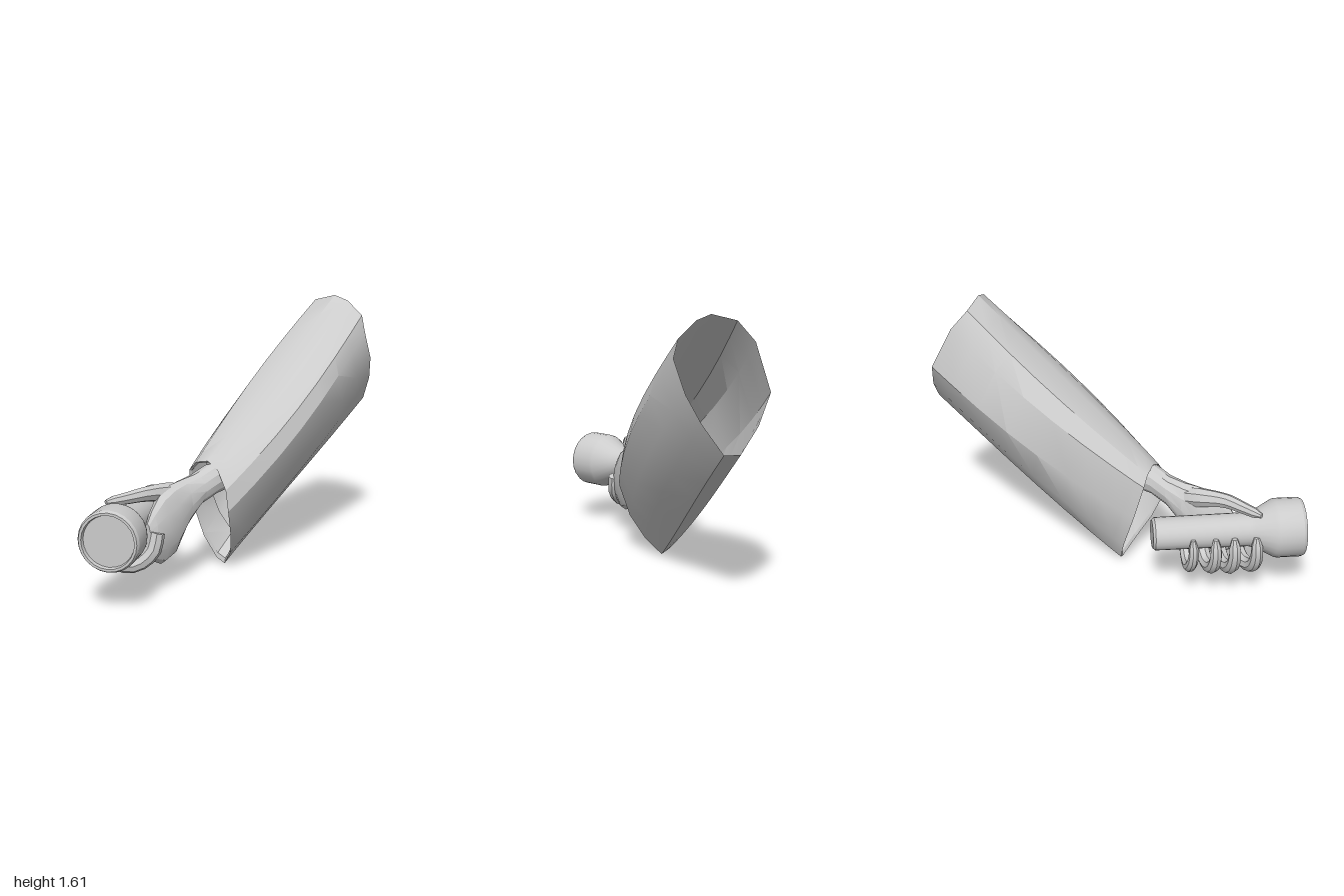
import * as THREE from 'three';
import { toCreasedNormals } from 'three/addons/utils/BufferGeometryUtils.js';

const V = (x, y, z) => new THREE.Vector3(x, y, z);

function mesh(name, geometry, crease, side = THREE.FrontSide) {
  const material = new THREE.MeshStandardMaterial({ color: 0xcccccc, side });
  const m = new THREE.Mesh(toCreasedNormals(geometry, crease), material);
  m.name = name;
  return m;
}

// Skin a list of equal-sized rings of points, optionally closing both ends.
function loft(rings, capped) {
  const n = rings[0].length, pos = [], idx = [];
  rings.forEach(r => r.forEach(p => pos.push(p.x, p.y, p.z)));
  for (let i = 0; i < rings.length - 1; i++) {
    for (let j = 0; j < n; j++) {
      const a = i * n + j, b = i * n + (j + 1) % n;
      idx.push(a, b, b + n, a, b + n, a + n);
    }
  }
  if (capped) {
    [0, rings.length - 1].forEach((k, end) => {
      const c = pos.length / 3, m = centre(rings[k]);
      pos.push(m.x, m.y, m.z);
      for (let j = 0; j < n; j++) {
        const a = k * n + j, b = k * n + (j + 1) % n;
        if (end) idx.push(c, a, b); else idx.push(c, b, a);
      }
    });
  }
  const g = new THREE.BufferGeometry();
  g.setAttribute('position', new THREE.Float32BufferAttribute(pos, 3));
  g.setIndex(idx);
  return g;
}

function centre(ring) {
  return ring.reduce((s, p) => s.add(p), V(0, 0, 0)).divideScalar(ring.length);
}

function oval(c, A, B, ra, rb, sides) {
  return Array.from({ length: sides }, (_, j) => {
    const t = j / sides * Math.PI * 2;
    return c.clone().addScaledVector(A, Math.cos(t) * ra).addScaledVector(B, Math.sin(t) * rb);
  });
}

// Tapered digit along a curve, with a rounded tip.
function digit(name, points, radii) {
  const curve = new THREE.CatmullRomCurve3(points);
  const steps = 12, f = curve.computeFrenetFrames(steps);
  const rings = [];
  for (let i = 0; i <= steps; i++) {
    const u = i / steps, s = u * (radii.length - 1), k = Math.min(Math.floor(s), radii.length - 2);
    const r = THREE.MathUtils.lerp(radii[k], radii[k + 1], s - k) * (i === steps ? 0.55 : 1);
    rings.push(oval(curve.getPointAt(u), f.normals[i], f.binormals[i], r, r, 8));
  }
  return mesh(name, loft(rings, true), 0.6);
}

function buildSleeve() {
  // Matching outlines of the hanging cuff and the upper opening
  const cuff = [
    [-0.18, 0.70, 0.19], [-0.25, 0.68, 0.13], [-0.295, 0.62, 0.09], [-0.28, 0.40, 0.03],
    [-0.21, 0.17, -0.01], [-0.13, 0.03, 0.0], [-0.08, 0.0, 0.03], [-0.045, 0.10, 0.13],
    [-0.04, 0.24, 0.24], [-0.055, 0.42, 0.325], [-0.07, 0.55, 0.315], [-0.12, 0.66, 0.25],
  ].reverse().map(p => V(...p));
  const top = [
    [0.64, 1.61, -0.67], [0.52, 1.57, -0.77], [0.52, 1.46, -0.88], [0.58, 1.20, -1.0],
    [0.69, 1.03, -0.98], [0.80, 0.89, -0.93], [0.86, 0.89, -0.86], [0.885, 1.05, -0.74],
    [0.88, 1.20, -0.64], [0.83, 1.38, -0.54], [0.81, 1.49, -0.56], [0.72, 1.58, -0.62],
  ].reverse().map(p => V(...p));
  const across = V(0.73, 0, 0.68);

  // Section at t, swelling sideways along the forearm
  const section = (t, scale = 1) => {
    const ring = cuff.map((p, j) => p.clone().lerp(top[j], t));
    const c = centre(ring), swell = 0.34 * Math.sin(Math.PI * Math.pow(t, 0.85));
    return ring.map(p => {
      const d = p.clone().sub(c);
      d.addScaledVector(across, d.dot(across) * swell);
      return c.clone().addScaledVector(d, scale);
    });
  };
  const outer = [0, 0.05, 0.15, 0.3, 0.45, 0.6, 0.75, 0.88, 1].map(t => section(t));
  // Hem folded to the inside of the cuff
  const hem = [section(0.12, 0.9), section(0.01, 0.94)];
  return mesh('sleeve', loft([...hem, ...outer], false), 0.5, THREE.DoubleSide);
}

function buildHand(axisX, axisY) {
  const hand = new THREE.Group();
  hand.name = 'hand';

  // Wrist and palm: centre, half thickness, half height
  const N = V(0.8, 0, 0.6), U = V(0, 1, 0);
  const palm = [
    [-0.03, 0.61, 0.06, 0.08, 0.085], [-0.16, 0.59, 0.20, 0.085, 0.095],
    [-0.25, 0.545, 0.27, 0.085, 0.095], [-0.33, 0.48, 0.345, 0.085, 0.145],
    [-0.395, 0.40, 0.43, 0.085, 0.215], [-0.45, 0.365, 0.51, 0.075, 0.21],
    [-0.495, 0.345, 0.58, 0.05, 0.15], [-0.52, 0.34, 0.61, 0.025, 0.09],
  ].map(([x, y, z, a, b]) => oval(V(x, y, z), N, U, a, b, 12));
  hand.add(mesh('palm', loft(palm, true), 0.4));

  // Thumb lying along the top of the barrel
  hand.add(digit('thumb', [
    V(-0.31, 0.53, 0.32), V(-0.43, 0.565, 0.42), V(-0.54, 0.585, 0.53),
    V(-0.64, 0.58, 0.60), V(-0.75, 0.575, 0.67),
  ], [0.06, 0.062, 0.047, 0.037, 0.027]));

  // Fingers curling under the barrel: offsets from its axis
  const curl = [[0.17, -0.05], [0.145, -0.16], [0.04, -0.24], [-0.08, -0.21], [-0.135, -0.11], [-0.12, 0.01]];
  const fingers = [
    ['indexFinger', 0.60, 0.64, 0.045, 1], ['middleFinger', 0.51, 0.51, 0.046, 1.02],
    ['ringFinger', 0.42, 0.40, 0.043, 1], ['littleFinger', 0.34, 0.27, 0.037, 0.95],
  ];
  for (const [name, zBase, zTip, r, s] of fingers) {
    const path = curl.map(([x, y], i) => {
      const z = THREE.MathUtils.lerp(zBase, zTip, Math.min(1, i / 3));
      return V(axisX(z) + x * s, axisY + y * s, z);
    });
    hand.add(digit(name, path, [r, r * 1.1, r, r * 0.95, r * 0.85, r * 0.7]));
  }
  return hand;
}

function buildTorch(back, direction) {
  // Barrel, flared head, rim and recessed lens, turned in one profile
  const profile = [
    [0, 0], [0.085, 0], [0.1, 0.015], [0.103, 0.58], [0.115, 0.62], [0.175, 0.73], [0.18, 0.75],
    [0.18, 0.895], [0.17, 0.914], [0.155, 0.914], [0.15, 0.89], [0, 0.89],
  ].map(([r, y]) => new THREE.Vector2(r, y));
  const torch = mesh('torch', new THREE.LatheGeometry(profile, 24), 0.4);
  torch.position.copy(back);
  torch.quaternion.setFromUnitVectors(V(0, 1, 0), direction);
  return torch;
}

export function createModel() {
  const model = new THREE.Group();
  model.name = 'armWithTorch';
  const back = V(-0.51, 0.425, 0.066);
  const direction = V(-0.226, 0, 0.974).normalize();
  const axisX = z => back.x + (z - back.z) * direction.x / direction.z;
  model.add(buildSleeve(), buildHand(axisX, back.y), buildTorch(back, direction));
  return model;
}
